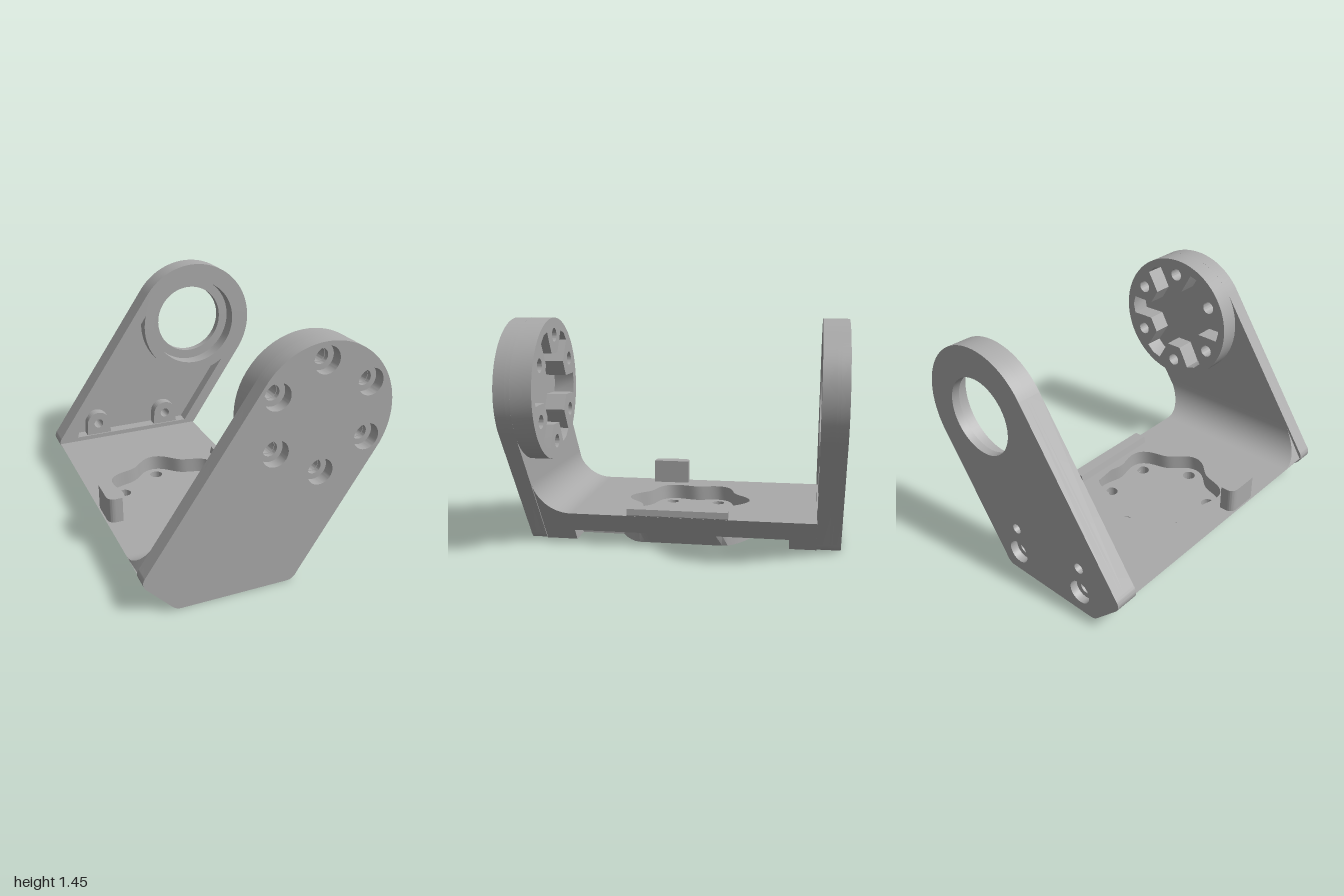
import * as THREE from 'three';
import { toCreasedNormals } from 'three/addons/utils/BufferGeometryUtils.js';

const CX = 0.31, CY = 1.01, R = 0.435; // pivot axis and arm end radius
const rad = THREE.MathUtils.degToRad;
const polar = (cx, cy, r, a) => new THREE.Vector2(cx + r * Math.cos(a), cy + r * Math.sin(a));

// Slanted side limits of the bracket at height y
const leftX = (y) => (y < 0.21 ? -0.565 - 0.86 * y : -0.745 + 0.665 * (y - 0.21));
const rightX = (y) => 0.155 + 0.66 * y;

function circle(cx, cy, r) {
  const p = new THREE.Path();
  p.absarc(cx, cy, r, 0, Math.PI * 2, false);
  return p;
}

// Six points at 60 degree steps, the first straight up
const ringOfSix = (cx, cy, r) =>
  Array.from({ length: 6 }, (_, i) => polar(cx, cy, r, rad(90 + 60 * i)));

// Side plate outline: rounded top, slanted flanks, chamfered foot
function armOutline() {
  const s = new THREE.Shape();
  s.moveTo(-0.53, 0);
  s.lineTo(0.13, 0);
  s.quadraticCurveTo(0.17, 0, 0.195, 0.05);
  s.lineTo(0.673, 0.771);
  s.absarc(CX, CY, R, rad(-33.4), rad(146.6), false);
  s.lineTo(-0.73, 0.26);
  s.quadraticCurveTo(-0.765, 0.22, -0.735, 0.18);
  s.lineTo(-0.585, 0.025);
  s.quadraticCurveTo(-0.56, 0, -0.53, 0);
  return s;
}

function extrude(shape, depth, holes = []) {
  shape.holes.push(...holes);
  return new THREE.ExtrudeGeometry(shape, { depth, bevelEnabled: false, curveSegments: 32 });
}

// Plate layer between two z values
const layerZ = (shape, z0, z1, holes) => extrude(shape, z1 - z0, holes).translate(0, 0, z0);

// Floor layer between two heights; the shape is drawn in x and -z
const layerY = (shape, y0, y1, holes) =>
  trim(extrude(shape, y1 - y0, holes).rotateX(-Math.PI / 2).translate(0, y0, 0));

// Pull the sides in to the slanted flanks
function trim(geo) {
  const p = geo.attributes.position;
  for (let i = 0; i < p.count; i++) {
    const y = p.getY(i);
    p.setX(i, THREE.MathUtils.clamp(p.getX(i), leftX(y), rightX(y)));
  }
  return geo;
}

const rect = (x0, y0, x1, y1) => new THREE.Shape([
  new THREE.Vector2(x0, y0), new THREE.Vector2(x1, y0),
  new THREE.Vector2(x1, y1), new THREE.Vector2(x0, y1)]);

export function createModel() {
  const group = new THREE.Group();
  const grey = new THREE.MeshStandardMaterial({ color: 0xaaaaaa });
  grey.name = 'grey';
  const add = (name, geo) => {
    const g = geo.index ? geo.toNonIndexed() : geo;
    g.computeVertexNormals();
    const mesh = new THREE.Mesh(toCreasedNormals(g, 0.5), grey);
    mesh.name = name;
    group.add(mesh);
  };

  // Front arm with counterbored screw holes
  const screws = ringOfSix(CX - 0.005, CY, 0.33);
  const screwHoles = (r) => screws.map((c) => circle(c.x, c.y, r));
  add('frontArmOuter', layerZ(armOutline(), 0.93, 1, screwHoles(0.08)));
  add('frontArmInner', layerZ(armOutline(), 0.9, 0.93, screwHoles(0.045)));

  // Hub disc with a star pocket between six screw bosses
  const star = [];
  for (let i = 0; i < 6; i++) {
    const a = 90 + 60 * i;
    for (const [da, r] of [[-20, 0.375], [-18, 0.3], [-14, 0.225], [14, 0.225], [18, 0.3], [20, 0.375], [30, 0.385]]) {
      star.push(polar(CX, CY, r, rad(a + da)));
    }
  }
  const disc = new THREE.Shape();
  disc.absarc(CX, CY, R, 0, Math.PI * 2, false);
  add('hubDisc', layerZ(disc, 0.77, 0.9, [new THREE.Path(star), ...screwHoles(0.042)]));

  // Back arm: stepped bore, foot screws, and a pocket on the inside
  const feet = [-0.45, 0.07];
  const footHoles = (r) => feet.map((x) => circle(x, 0.14, r));
  const pinHoles = () => feet.map((x) => circle(x, 0.32, 0.033));
  add('backArmOuter', layerZ(armOutline(), -1, -0.95,
    [circle(CX, CY, 0.245), ...footHoles(0.075), ...pinHoles()]));
  add('backArmMiddle', layerZ(armOutline(), -0.95, -0.93,
    [circle(CX, CY, 0.31), ...footHoles(0.04), ...pinHoles()]));
  const pocket = new THREE.Path();
  pocket.moveTo(rightX(0.24) - 0.085, 0.24);
  pocket.lineTo(leftX(0.24) + 0.11, 0.24);
  pocket.lineTo(leftX(0.3) + 0.085, 0.3);
  pocket.absarc(CX, CY, 0.385, rad(166), rad(306), false);
  pocket.closePath();
  add('backArmInner', layerZ(armOutline(), -0.93, -0.85,
    [circle(CX, CY, 0.31), pocket, ...footHoles(0.04)]));
  for (const x of feet) {
    const arch = new THREE.Shape();
    arch.moveTo(x - 0.09, 0.23);
    arch.lineTo(x + 0.09, 0.23);
    arch.absarc(x, 0.32, 0.085, 0, Math.PI, false);
    add('pinBoss', layerZ(arch, -0.93, -0.86, [circle(x, 0.32, 0.033)]));
  }

  // Floor: underside pads, a full slab and a top layer with a lobed recess
  const bolts = () => ringOfSix(-0.2, -0.007, 0.328).map((c) => circle(c.x, c.y, 0.042));
  const pad = [[1, 0.9], [1, 0.7], [0, 0.7]].map(([x, z]) => new THREE.Vector2(x, -z));
  for (let i = 0; i <= 56; i++) pad.push(polar(-0.2, -0.007, 0.46, rad(-64 + 5.5 * i)));
  for (const [x, z] of [[-0.4, 0.7], [-1, 0.7], [-1, 0.9]]) pad.push(new THREE.Vector2(x, -z));
  add('undersidePad', layerY(new THREE.Shape(pad), 0, 0.075, bolts()));
  add('rearPad', layerY(rect(-1, 0.68, 1, 0.85), 0, 0.075));
  add('floorSlab', layerY(rect(-1, -0.9, 1, 0.85), 0.075, 0.11, bolts()));
  const lobes = [];
  for (let i = 0; i < 96; i++) {
    const a = (i / 96) * Math.PI * 2;
    lobes.push(polar(-0.2, -0.007, 0.376 + 0.034 * Math.cos(6 * (a - Math.PI / 2)), a));
  }
  add('floorTop', layerY(rect(-1, -0.9, 1, 0.85), 0.11, 0.21, [new THREE.Path(lobes)]));

  // Curved fillet between floor and front arm
  const fillet = new THREE.Shape();
  fillet.moveTo(-0.9, 0.205);
  fillet.lineTo(-0.7, 0.205);
  fillet.lineTo(-0.7, 0.21);
  fillet.bezierCurveTo(-0.82, 0.21, -0.9, 0.31, -0.9, 0.43);
  add('fillet', trim(extrude(fillet, 2).rotateY(Math.PI / 2).translate(-1, 0, 0)));

  // Low rail on one edge of the floor
  const rail = new THREE.Shape([[0.2, 0.19], [0.28, 0.19], [0.295, 0.215], [0.292, 0.255], [0.215, 0.255]]
    .map(([x, y]) => new THREE.Vector2(x, y)));
  add('edgeRail', layerZ(rail, -0.305, 0.335));

  // Stop block on the opposite edge
  const stop = new THREE.Shape();
  stop.moveTo(-0.645, -0.335);
  stop.lineTo(-0.645, -0.085);
  stop.lineTo(-0.69, -0.085);
  stop.quadraticCurveTo(-0.735, -0.09, -0.735, -0.14);
  stop.lineTo(-0.735, -0.28);
  stop.quadraticCurveTo(-0.735, -0.33, -0.69, -0.335);
  add('stopBlock', extrude(stop, 0.17).rotateX(-Math.PI / 2).translate(0, 0.2, 0));

  return group;
}
